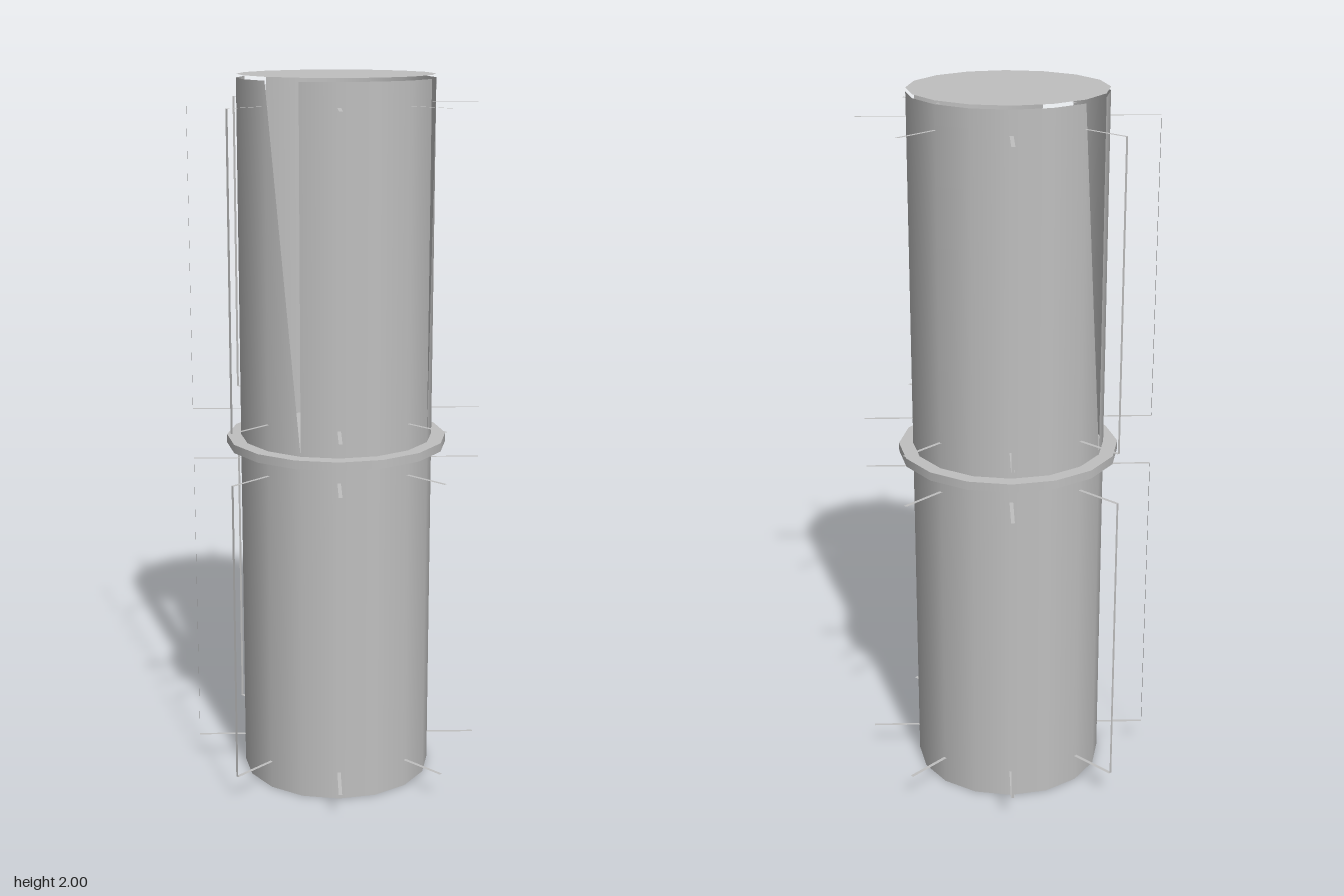
import * as THREE from 'three';

const SIDES = 16;
const WALL_R = 0.27;

export function createModel() {
  const model = new THREE.Group();
  model.name = 'bandedColumn';
  const grey = new THREE.MeshStandardMaterial({ color: 0xc0c0c0, side: THREE.DoubleSide });
  grey.name = 'grey';

  const add = (parent, name, geometry, x, y, z) => {
    const mesh = new THREE.Mesh(geometry, grey);
    mesh.name = name;
    mesh.position.set(x, y, z);
    parent.add(mesh);
    return mesh;
  };

  // Open wall; cuts maps a panel number to the lower corner of its missing triangle
  const wall = (name, bottom, top, cuts = {}) => {
    const geo = new THREE.CylinderGeometry(WALL_R, WALL_R, top - bottom, SIDES, 1, true);
    const index = [];
    for (let i = 0; i < SIDES; i++) {
      const a = i, d = i + 1, b = a + SIDES + 1, c = b + 1;
      if (cuts[i] === 'right') index.push(a, b, c);
      else if (cuts[i] === 'left') index.push(b, c, d);
      else index.push(a, b, d, b, c, d);
    }
    geo.setIndex(index);
    add(model, name, geo, 0, (top + bottom) / 2, 0);
  };
  wall('lowerWall', 0, 0.98);
  wall('upperWall', 1.0, 1.99, { 1: 'left', 8: 'right', 12: 'right' });

  // Solid ring plate between the two sections
  add(model, 'middlePlate', new THREE.CylinderGeometry(0.31, 0.31, 0.024, SIDES), 0, 0.988, 0);

  // Flat lid, a hair above the wall
  const lid = new THREE.CircleGeometry(WALL_R, SIDES);
  lid.rotateX(-Math.PI / 2);
  add(model, 'topLid', lid, 0, 2, 0);

  // Flat radial arms, eight per level, joined by upright strips on the back
  const inner = 0.26, outer = 0.405;
  const arm = new THREE.PlaneGeometry(0.01, outer - inner);
  arm.rotateX(-Math.PI / 2);
  const sections = [['lower', 0.08, 0.93], ['upper', 1.075, 1.925]];
  for (const [section, low, high] of sections) {
    for (let i = 0; i < 8; i++) {
      const bracket = new THREE.Group();
      bracket.name = section + 'Bracket' + (i + 1);
      bracket.rotation.y = i * Math.PI / 4;
      add(bracket, 'lowArm', arm, 0, low, (inner + outer) / 2);
      add(bracket, 'highArm', arm, 0, high, (inner + outer) / 2);
      if (i >= 3 && i <= 6) {
        add(bracket, 'uprightStrip', new THREE.PlaneGeometry(0.008, high - low), 0, (low + high) / 2, outer);
      }
      model.add(bracket);
    }
  }
  return model;
}
